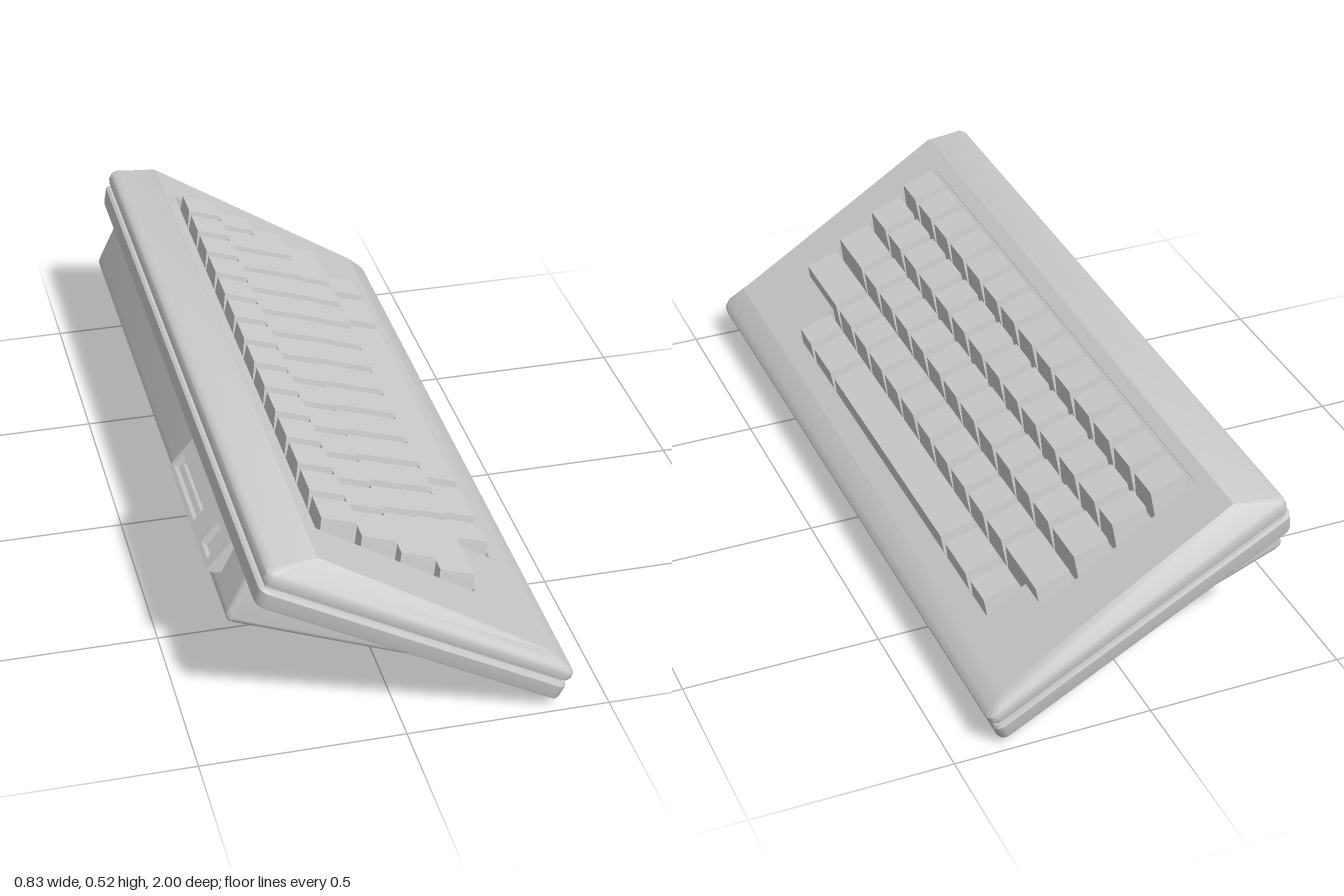
import * as THREE from 'three';
import { toCreasedNormals } from 'three/addons/utils/BufferGeometryUtils.js';

const grey = new THREE.MeshStandardMaterial({ color: 0xcccccc });

function mesh(name, geometry, parent) {
  const m = new THREE.Mesh(geometry, grey);
  m.name = name;
  parent.add(m);
  return m;
}

const shapeOf = (pts) => new THREE.Shape(pts.map(([x, y]) => new THREE.Vector2(x, y)));

// Skin over rounded-rectangle rings: [back u, front u, half width, back height, front height, corner radius]
function loft(rings) {
  const pos = [], idx = [], steps = 5, n = 4 * (steps + 1);
  for (const [u0, u1, w, vb, vf, r] of rings) {
    for (let c = 0; c < 4; c++) {
      const cx = c === 0 || c === 3 ? u1 - r : u0 + r;
      const cz = c < 2 ? -w + r : w - r;
      for (let k = 0; k <= steps; k++) {
        const a = (c + k / steps) * Math.PI / 2;
        const u = cx + r * Math.cos(a);
        const t = u1 > u0 ? (u - u0) / (u1 - u0) : 0;
        pos.push(u, vb + (vf - vb) * t, cz - r * Math.sin(a));
      }
    }
  }
  for (let i = 0; i < rings.length - 1; i++) {
    for (let j = 0; j < n; j++) {
      const a = i * n + j, b = i * n + (j + 1) % n;
      idx.push(a, b, b + n, a, b + n, a + n);
    }
  }
  const g = new THREE.BufferGeometry();
  g.setAttribute('position', new THREE.Float32BufferAttribute(pos, 3));
  g.setIndex(idx);
  return toCreasedNormals(g, 0.6);
}

// Keycap: box whose corners follow a leaning, tapered cross-section
function keycap(z0, z1) {
  const g = new THREE.BoxGeometry(1, 1, 1);
  const p = g.attributes.position;
  for (let i = 0; i < p.count; i++) {
    const front = p.getX(i) > 0, top = p.getY(i) > 0;
    const inset = top ? 0.014 : 0.003;
    const [x, y] = top ? (front ? [0.043, -0.0145] : [-0.043, 0.0145])
      : (front ? [0.03, -0.1] : [-0.052, -0.05]);
    p.setXYZ(i, x, y, p.getZ(i) > 0 ? z1 - inset : z0 + inset);
  }
  g.computeVertexNormals();
  return g;
}

export function createModel() {
  const model = new THREE.Group();
  model.name = 'keyboard';

  // Tilted case halves
  const shell = new THREE.Group();
  shell.name = 'case';
  shell.position.set(0.0275, 0.28, 0);
  shell.rotation.z = -Math.atan2(0.41, 0.735);
  model.add(shell);

  mesh('upperCase', loft([
    [0, 0, 0, 0, 0, 0],
    [-0.412, 0.414, 0.988, 0, 0, 0.02],
    [-0.422, 0.424, 0.998, 0.004, 0.004, 0.025],
    [-0.426, 0.428, 1.0, 0.012, 0.012, 0.025],
    [-0.427, 0.425, 1.0, 0.03, 0.026, 0.025],
    [-0.421, 0.416, 0.996, 0.04, 0.033, 0.022],
    [-0.412, 0.405, 0.99, 0.046, 0.038, 0.02],
    [-0.332, 0.358, 0.968, 0.0905, 0.052, 0.006],
    [-0.324, 0.351, 0.964, 0.094, 0.053, 0.003],
  ]), shell);

  mesh('seam', new THREE.BoxGeometry(0.82, 0.03, 1.965), shell).position.y = -0.006;

  mesh('lowerCase', loft([
    [0, 0, 0, -0.05, -0.05, 0],
    [-0.385, 0.4, 0.965, -0.05, -0.05, 0.02],
    [-0.4, 0.423, 0.982, -0.062, -0.06, 0.02],
    [-0.408, 0.432, 0.99, -0.058, -0.056, 0.025],
    [-0.411, 0.433, 0.993, -0.05, -0.048, 0.025],
    [-0.422, 0.429, 0.998, -0.016, -0.016, 0.025],
    [-0.418, 0.424, 0.994, -0.009, -0.009, 0.022],
    [-0.405, 0.41, 0.98, -0.007, -0.007, 0.02],
    [0, 0, 0, -0.007, -0.007, 0],
  ]), shell);

  // Sloping top panel with a stepped opening for the keys
  const slope = Math.atan2(0.365, 0.57), panelLength = 0.677, depth = 0.04;
  const top = new THREE.Group();
  top.name = 'top';
  top.position.set(-0.21, 0.52, 0);
  top.rotation.z = -slope;
  model.add(top);

  const panel = shapeOf([[0, -0.964], [panelLength, -0.964], [panelLength, 0.964], [0, 0.964]]);
  panel.holes.push(shapeOf([
    [0.036, -0.825], [0.036, 0.83], [0.499, 0.83], [0.499, 0.735],
    [0.62, 0.735], [0.62, -0.615], [0.499, -0.615], [0.499, -0.825],
  ]));
  const panelGeometry = new THREE.ExtrudeGeometry(panel, { depth, bevelEnabled: false });
  panelGeometry.rotateX(-Math.PI / 2).translate(0, -depth, 0);
  mesh('topPanel', panelGeometry, top);
  mesh('keyWellFloor', new THREE.BoxGeometry(0.62, 0.01, 1.75), top)
    .position.set(0.335, -depth - 0.003, 0);

  // Keys: four staggered rows given in key units, and the short front row by position
  const unit = 0.117;
  const rows = [
    [1, 12, 1],
    [0.87, 12, 1.15],
    [1.3, 11, 1.7],
    [1.8, 10, 2.2],
  ].map(([first, count, last]) => {
    let z = -0.82;
    return [first, ...Array(count).fill(1), last].map((w) => [z, z += w * unit]);
  });
  rows.push([[-0.735, -0.625], [-0.62, -0.463], [-0.457, 0.338], [0.342, 0.498], [0.502, 0.61]]);

  rows.forEach((row, i) => {
    const group = new THREE.Group();
    group.name = `keyRow${i + 1}`;
    group.position.set(-0.1175 + i * 0.0965, 0.4975 - i * 0.0655, 0);
    model.add(group);
    row.forEach(([z0, z1]) => mesh(z1 - z0 > 0.5 ? 'spaceBar' : 'key', keycap(z0, z1), group));
  });

  // Wedge-shaped base
  const bevel = 0.014, zBack = -0.88, zFront = 0.85;
  const base = new THREE.ExtrudeGeometry(shapeOf([
    [-0.325, 0.45], [-0.389, 0.318], [-0.396, 0.3], [-0.393, 0.287], [-0.38, 0.279],
    [0.305, 0.004], [0.318, 0], [0.328, 0.005], [0.35, 0.03], [0.37, 0.06],
  ]), {
    depth: zFront - zBack - 2 * bevel, bevelSize: bevel, bevelThickness: bevel,
    bevelOffset: -bevel, bevelSegments: 3,
  });
  base.translate(0, 0, zBack + bevel);
  mesh('base', toCreasedNormals(base, 0.6), model);

  // Connector housing on the back: slotted face plate over a wedge
  const ports = new THREE.Group();
  ports.name = 'portHousing';
  model.add(ports);

  const rect = (x0, x1, y0, y1) => [[x0, y0], [x1, y0], [x1, y1], [x0, y1]];
  const face = shapeOf(rect(0.27, 0.72, 0, 0.106));
  face.holes.push(shapeOf(rect(0.285, 0.53, 0.012, 0.05)));
  face.holes.push(shapeOf(rect(0.62, 0.69, 0.012, 0.076)));
  const along = new THREE.Vector3(0.07, 0.08, 0).normalize();
  const across = new THREE.Vector3(0, 0, 1);
  const out = new THREE.Vector3().crossVectors(across, along);
  const plateFrame = new THREE.Matrix4().makeBasis(across, along, out).setPosition(-0.415, 0.35, 0);
  const plate = new THREE.ExtrudeGeometry(face, { depth: 0.018, bevelEnabled: false });
  mesh('portPlate', plate.translate(0, 0, -0.018).applyMatrix4(plateFrame), ports);

  const tongue = new THREE.BoxGeometry(0.21, 0.012, 0.014).translate(0.4075, 0.031, -0.012);
  mesh('portTongue', tongue.applyMatrix4(plateFrame), ports);

  const wedge = new THREE.ExtrudeGeometry(
    shapeOf([[-0.401, 0.338], [-0.37, 0.335], [-0.33, 0.419]]),
    { depth: 0.45, bevelEnabled: false });
  mesh('portWedge', wedge.translate(0, 0, 0.27), ports);

  return model;
}
